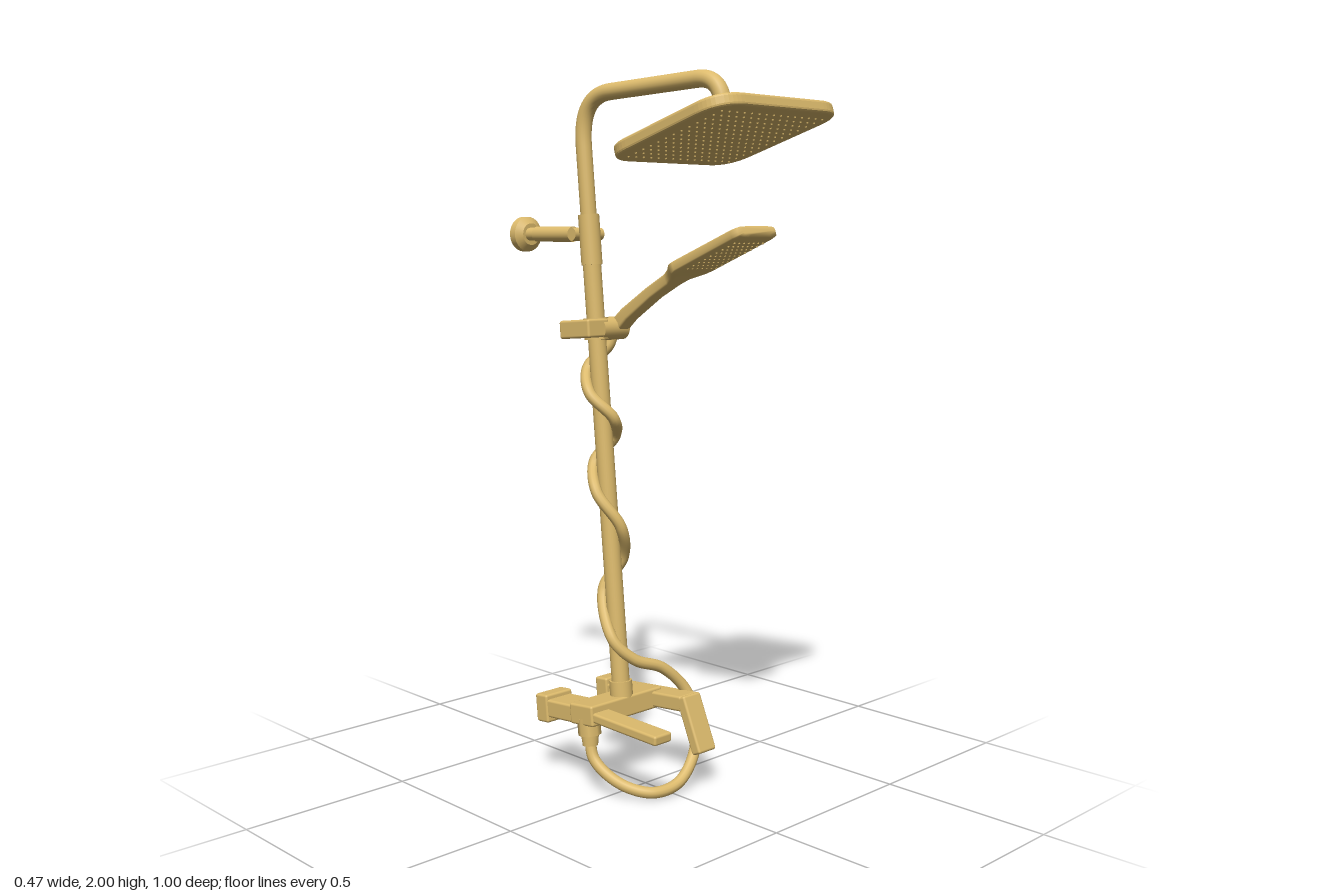
import * as THREE from 'three';
import { mergeGeometries } from 'three/addons/utils/BufferGeometryUtils.js';
import { RoundedBoxGeometry } from 'three/addons/geometries/RoundedBoxGeometry.js';

const V = (x, y, z) => new THREE.Vector3(x, y, z);
const UP = V(0, 1, 0);

export function createModel() {
  const model = new THREE.Group();
  const mat = new THREE.MeshStandardMaterial({ color: 0xdcba6c });
  const twoSided = new THREE.MeshStandardMaterial({ color: 0xdcba6c, side: THREE.DoubleSide });

  const add = (name, geometry, parent = model, material = mat) => {
    const mesh = new THREE.Mesh(geometry, material);
    mesh.name = name;
    parent.add(mesh);
    return mesh;
  };
  // Cylinder running from a to b
  const rod = (name, a, b, r0, r1 = r0, sides = 32) => {
    const d = b.clone().sub(a);
    const mesh = add(name, new THREE.CylinderGeometry(r1, r0, d.length(), sides));
    mesh.position.copy(a).add(b).multiplyScalar(0.5);
    mesh.quaternion.setFromUnitVectors(UP, d.normalize());
    return mesh;
  };
  // Softened plank running from (z0, y0) to (z1, y1) between two x values
  const bar = (name, x0, x1, [z0, y0], [z1, y1], t) => {
    const len = Math.hypot(z1 - z0, y1 - y0);
    const mesh = add(name, new RoundedBoxGeometry(x1 - x0, t, len, 2, 0.007));
    mesh.position.set((x0 + x1) / 2, (y0 + y1) / 2, (z0 + z1) / 2);
    mesh.rotation.x = -Math.atan2(y1 - y0, z1 - z0);
    return mesh;
  };
  // Centre line of the leaning riser
  const pole = y => V(-0.032, y, -0.066 - (y - 0.26) * 0.096);

  // Riser pipe, bent over into the shower arm
  const arm = new THREE.CurvePath();
  const bendA = pole(1.82), bendB = V(-0.022, 1.965, -0.12);
  const bendC = V(-0.005, 1.977, 0.2), bendD = V(0, 1.89, 0.29);
  arm.add(new THREE.LineCurve3(pole(0.24), bendA));
  arm.add(new THREE.CubicBezierCurve3(bendA, pole(1.91), V(-0.026, 1.96, -0.2), bendB));
  arm.add(new THREE.LineCurve3(bendB, bendC));
  arm.add(new THREE.CubicBezierCurve3(bendC, V(-0.002, 1.979, 0.26), V(0, 1.95, 0.285), bendD));
  arm.add(new THREE.LineCurve3(bendD, V(0, 1.85, 0.295)));
  add('riserPipe', new THREE.TubeGeometry(arm, 220, 0.023, 20), model, twoSided);
  rod('lowerRiser', pole(0.24), pole(1.5), 0.026);
  rod('riserCollar', pole(0.23), pole(0.3), 0.033);
  rod('riserSleeve', pole(1.49), pole(1.63), 0.03);

  // Overhead shower: rounded plate with ball joint and rows of nozzles
  const head = new THREE.Group();
  head.name = 'overheadShower';
  head.position.set(-0.003, 1.838, 0.295);
  head.rotation.x = -0.285;
  model.add(head);
  const rounded = (w, l, r) => {
    const s = new THREE.Shape(), x = w / 2, y = l / 2;
    s.moveTo(-x + r, -y);
    s.lineTo(x - r, -y).quadraticCurveTo(x, -y, x, -y + r);
    s.lineTo(x, y - r).quadraticCurveTo(x, y, x - r, y);
    s.lineTo(-x + r, y).quadraticCurveTo(-x, y, -x, y - r);
    s.lineTo(-x, -y + r).quadraticCurveTo(-x, -y, -x + r, -y);
    return s;
  };
  const plate = new THREE.ExtrudeGeometry(rounded(0.456, 0.412, 0.08), {
    depth: 0.018, bevelThickness: 0.008, bevelSize: 0.009, bevelSegments: 3, curveSegments: 12,
  });
  plate.translate(0, 0, -0.009).rotateX(-Math.PI / 2);
  add('showerPlate', plate, head);
  const neck = [[0, 0.01], [0.044, 0.015], [0.042, 0.024], [0.031, 0.027], [0.034, 0.04], [0.031, 0.055], [0.022, 0.065], [0, 0.068]];
  add('ballJoint', new THREE.LatheGeometry(neck.map(p => new THREE.Vector2(...p)), 32), head);

  const nozzles = (nx, nz, w, l, y) => {
    const list = [];
    for (let i = 0; i < nx; i++) for (let j = 0; j < nz; j++) {
      const g = new THREE.CylinderGeometry(0.004, 0.0025, 0.005, 6);
      list.push(g.translate((i / (nx - 1) - 0.5) * w, y, (j / (nz - 1) - 0.5) * l));
    }
    return mergeGeometries(list);
  };
  add('showerNozzles', nozzles(15, 13, 0.38, 0.34, -0.018), head);

  // Hand shower: superellipse sections [z, y, width, thickness] joined into a skin
  const sections = [
    [-0.165, 1.295, 0.03, 0.03], [-0.15, 1.31, 0.048, 0.044], [-0.1, 1.352, 0.05, 0.04],
    [0, 1.415, 0.052, 0.036], [0.07, 1.452, 0.056, 0.036], [0.095, 1.467, 0.08, 0.037],
    [0.13, 1.482, 0.145, 0.037], [0.15, 1.49, 0.158, 0.036], [0.36, 1.574, 0.158, 0.033],
    [0.378, 1.581, 0.148, 0.031], [0.387, 1.585, 0.125, 0.024],
  ];
  const N = 28, pos = [], idx = [];
  sections.forEach(([z, y, w, t], i) => {
    const a = sections[Math.max(i - 1, 0)], b = sections[Math.min(i + 1, sections.length - 1)];
    const tilt = Math.atan2(b[1] - a[1], b[0] - a[0]);
    for (let k = 0; k < N; k++) {
      const q = (k / N) * Math.PI * 2, c = Math.cos(q), s = Math.sin(q);
      const u = Math.sign(c) * Math.abs(c) ** 0.4 * w / 2, v = Math.sign(s) * Math.abs(s) ** 0.4 * t / 2;
      pos.push(0.034 + u, y + v * Math.cos(tilt), z - v * Math.sin(tilt));
      if (i) {
        const p = (i - 1) * N + k, r = (i - 1) * N + (k + 1) % N;
        idx.push(p, r, p + N, r, r + N, p + N);
      }
    }
  });
  const last = (sections.length - 1) * N;
  for (let k = 1; k < N - 1; k++) idx.push(0, k + 1, k, last, last + k, last + k + 1);
  const skin = new THREE.BufferGeometry();
  skin.setAttribute('position', new THREE.Float32BufferAttribute(pos, 3));
  skin.setIndex(idx);
  skin.computeVertexNormals();
  add('handShower', skin, model, twoSided);
  const handNozzles = add('handShowerNozzles', nozzles(7, 9, 0.11, 0.18, -0.018));
  handNozzles.position.set(0.034, 1.535, 0.26);
  handNozzles.rotation.x = -0.38;

  // Sliding holder for the hand shower
  bar('sliderBlock', -0.1, -0.02, [-0.25, 1.305], [-0.125, 1.315], 0.052);
  rod('sliderClamp', pole(1.28), pole(1.34), 0.036);
  rod('handShowerHolder', V(-0.04, 1.31, -0.152), V(0.054, 1.31, -0.152), 0.033);

  // Wall bracket
  const y = 1.576;
  rod('wallRod', V(-0.026, y, -0.2), V(-0.026, y, -0.47), 0.019);
  rod('wallRodSleeve', V(-0.026, y, -0.27), V(-0.026, y, -0.43), 0.022);
  rod('wallFlangeCone', V(-0.022, y, -0.462), V(-0.022, y, -0.477), 0.032, 0.051);
  rod('wallFlange', V(-0.022, y, -0.477), V(-0.022, y, -0.5), 0.051);
  rod('bracketKnob', V(-0.07, y, -0.228), V(0.04, y, -0.228), 0.018);

  // Mixer body with two inlets and two levers
  bar('mixerBody', -0.18, 0.1, [-0.125, 0.222], [-0.03, 0.232], 0.06);
  bar('rightInletArm', -0.178, -0.085, [-0.235, 0.21], [-0.06, 0.225], 0.052);
  bar('leftInletArm', 0.058, 0.132, [-0.235, 0.21], [0.085, 0.242], 0.045);
  bar('rightInletBlock', -0.182, -0.082, [-0.272, 0.205], [-0.222, 0.21], 0.082);
  bar('leftInletBlock', 0.054, 0.134, [-0.272, 0.205], [-0.222, 0.21], 0.082);
  bar('rightLever', -0.175, -0.11, [-0.06, 0.228], [0.218, 0.222], 0.028);
  bar('leftLever', 0.058, 0.128, [0.08, 0.262], [0.147, 0.108], 0.034);
  rod('hoseNut', V(-0.15, 0.165, -0.072), V(-0.15, 0.215, -0.078), 0.033, 0.033, 8);
  rod('hoseFerrule', V(-0.152, 0.135, -0.068), V(-0.15, 0.17, -0.072), 0.022, 0.026);

  // Hose: a hanging loop, then a coil wound around the riser
  const path = [
    V(-0.15, 0.17, -0.072), V(-0.155, 0.1, -0.05), V(-0.13, 0.042, 0.03), V(-0.07, 0.018, 0.1),
    V(0.02, 0.028, 0.115), V(0.1, 0.09, 0.098), V(0.147, 0.17, 0.06), V(0.138, 0.255, 0.028),
    V(0.07, 0.33, 0.0), V(-0.02, 0.368, -0.025), V(-0.068, 0.43, -0.065),
  ];
  const turns = [0.56, 0.65, 0.75, 0.85, 0.93, 1.0, 1.06, 1.13, 1.2, 1.26];
  turns.forEach((h, i) => {
    const q = i * Math.PI / 2, p = pole(h);
    path.push(p.add(V(Math.sin(q) * 0.042, 0, -Math.cos(q) * 0.046)));
  });
  path.push(V(0.022, 1.3, -0.155));
  add('hose', new THREE.TubeGeometry(new THREE.CatmullRomCurve3(path), 260, 0.0165, 12), model, twoSided);

  return model;
}
